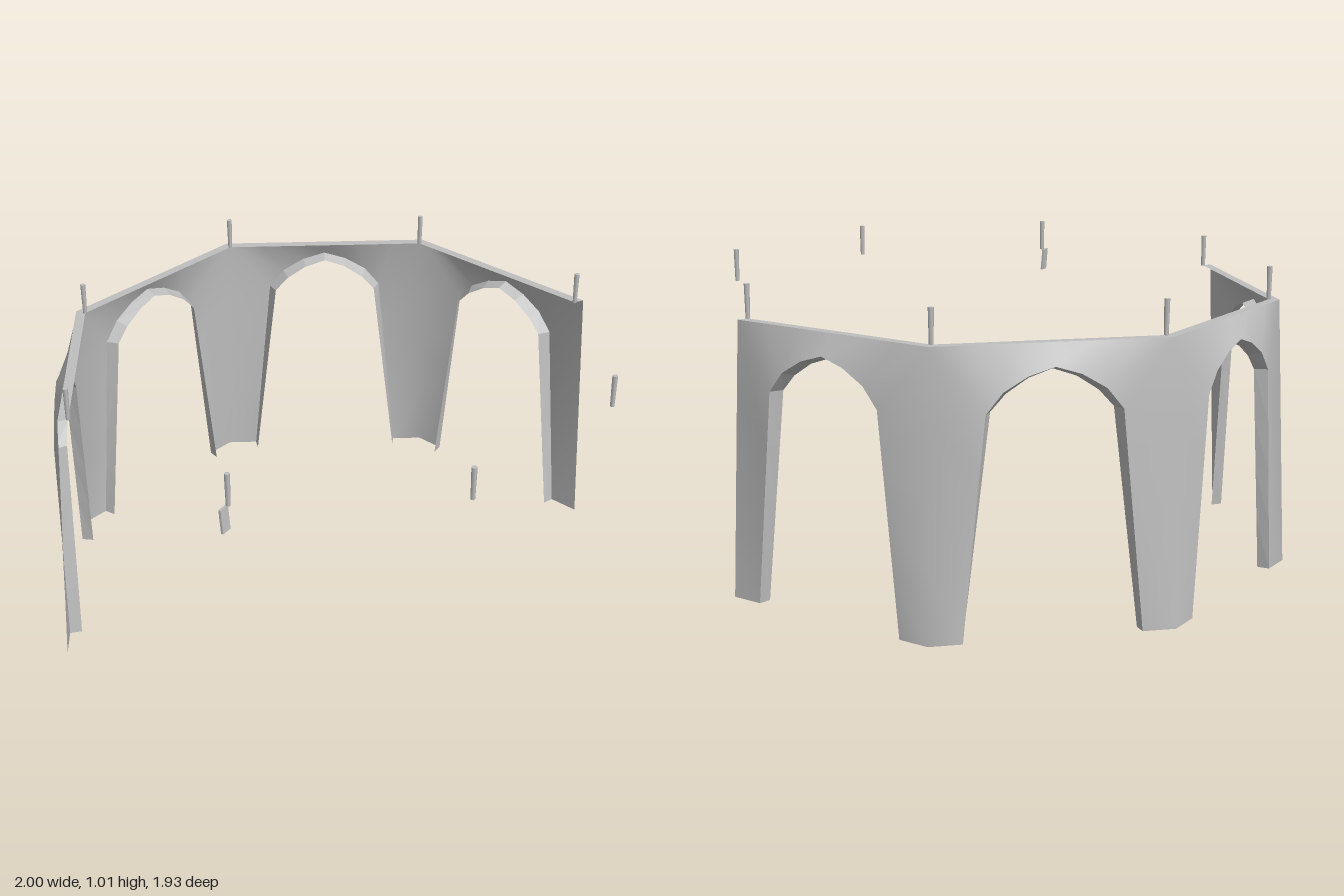
import * as THREE from 'three';
import { mergeGeometries, mergeVertices } from 'three/addons/utils/BufferGeometryUtils.js';

const ZC = 0.035;                 // octagon centre
const H = 0.9;                    // wall height
const C = Math.cos(Math.PI / 8), S = Math.sin(Math.PI / 8);
const lerp = THREE.MathUtils.lerp;

// Panel-local point: s along the wall, y up, n outward
function place([s, y, n], a) {
  return [s * Math.cos(a) + n * Math.sin(a), y, s * Math.sin(a) - n * Math.cos(a) + ZC];
}

// Ribbon of quads between two rows of points
function ribbon(rowA, rowB, a) {
  const pos = [...rowA, ...rowB].flatMap(p => place(p, a));
  const m = rowA.length, idx = [];
  for (let i = 0; i < m - 1; i++) {
    idx.push(i, i + 1, m + i + 1, i, m + i + 1, m + i);
  }
  const g = new THREE.BufferGeometry();
  g.setAttribute('position', new THREE.Float32BufferAttribute(pos, 3));
  g.setIndex(idx);
  return g;
}

function mirrored(half) {
  return [...half, ...half.slice(0, -1).reverse().map(([s, y, n]) => [-s, y, n])];
}

// Rows of one panel: wall border, outer arch edge, inner arch edge
function panelRows() {
  const border = [], outer = [], inner = [];
  for (let k = 0; k <= 4; k++) {
    const t = k / 4, r = 1 - 0.045 * t;
    border.push([-r * S, H * t, r * C]);
    outer.push([-lerp(0.277, 0.207, t), 0.7 * t, C]);
    inner.push([-lerp(0.27, 0.186, t), 0.7 * t, C - 0.04]);
  }
  for (const [s, y, f] of [[0.155, 0.765, 0.7], [0.08, 0.81, 0.35], [0, 0.835, 0]]) {
    border.push([-0.955 * S * f, H, 0.955 * C]);
    outer.push([-s, y, C]);
    inner.push([-s * 0.9, y - 0.013, C - 0.04]);
  }
  return [border, outer, inner].map(mirrored);
}

export function createModel() {
  const group = new THREE.Group();
  const stone = new THREE.MeshStandardMaterial({ color: 0xbfbfbf, side: THREE.DoubleSide });
  stone.name = 'stoneGrey';
  const add = (geometry, name) => {
    const mesh = new THREE.Mesh(geometry, stone);
    mesh.name = name;
    group.add(mesh);
    return mesh;
  };

  // Four arched panels along half an octagon
  const angles = [-3, -1, 1, 3].map(k => k * Math.PI / 8);
  const [border, outer, inner] = panelRows();

  // Outer skin, smooth around the piers
  const skin = mergeVertices(mergeGeometries(angles.map(a => ribbon(border, outer, a))), 1e-4);
  skin.computeVertexNormals();
  add(skin, 'arcadeWall');

  for (const a of angles) {
    // Return edge around the arch opening
    const reveal = ribbon(outer, inner, a).toNonIndexed();
    reveal.computeVertexNormals();
    add(reveal, 'archReveal');

    // Flat ledge on top of the wall
    const edge = r => [[-r * S, H, r * C], [r * S, H, r * C]];
    const ledge = ribbon(edge(0.92), edge(0.955), a);
    ledge.computeVertexNormals();
    add(ledge, 'topLedge');
  }

  // Short posts on all eight corners
  const postGeometry = new THREE.CylinderGeometry(0.009, 0.007, 0.11, 6);
  for (let i = 0; i < 8; i++) {
    const a = i * Math.PI / 4;
    add(postGeometry, 'cornerPost').position.set(0.92 * Math.sin(a), H + 0.055, ZC - 0.92 * Math.cos(a));
  }

  // Small hanging plate below one front post
  const plate = add(new THREE.BoxGeometry(0.036, 0.08, 0.008), 'hangingPlate');
  plate.position.set(-0.666, 0.86, 0.692);
  plate.rotation.set(-0.08, 0.55, 0, 'YXZ');

  return group;
}
